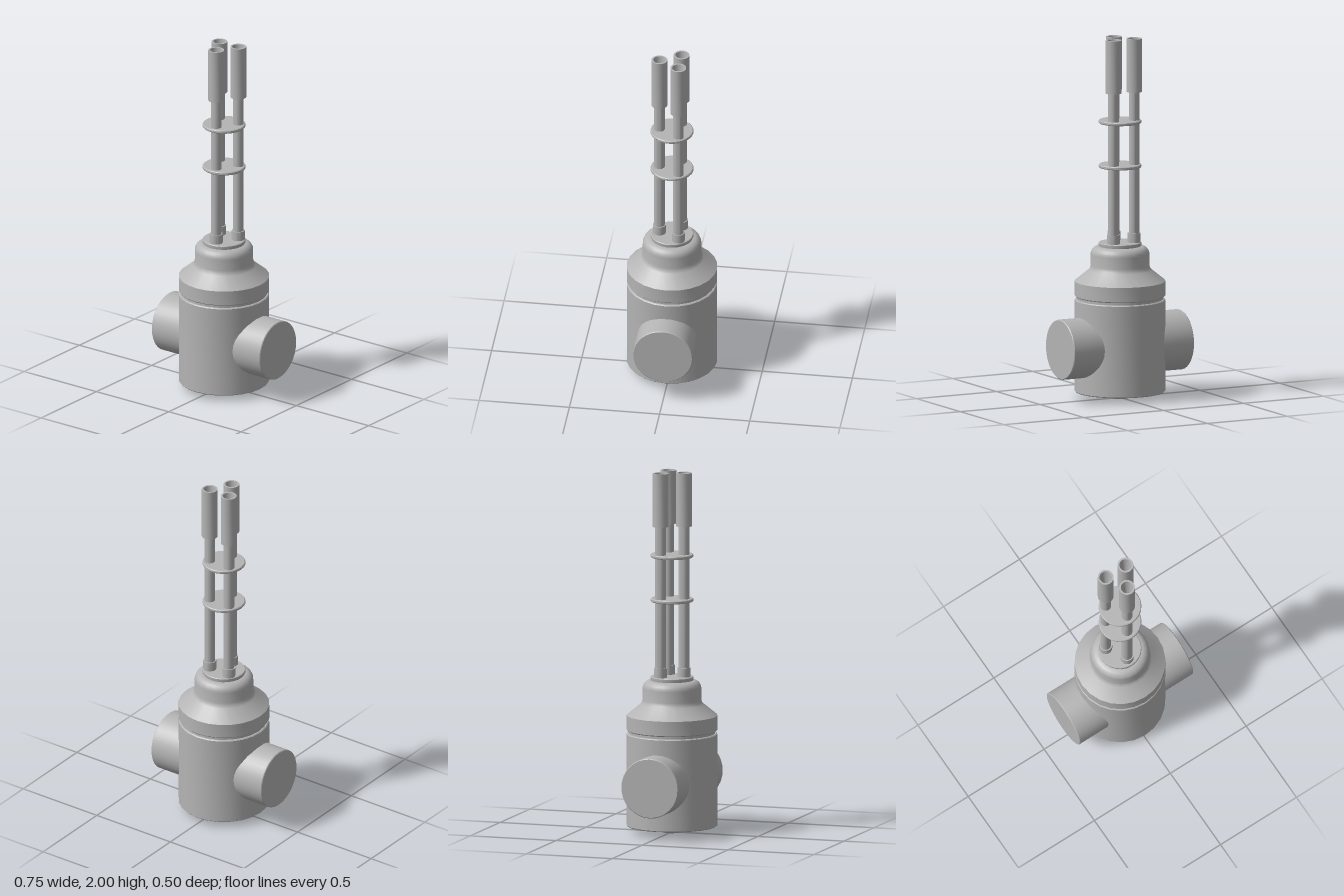
import * as THREE from 'three';
import { toCreasedNormals } from 'three/addons/utils/BufferGeometryUtils.js';

export function createModel() {
  const group = new THREE.Group();
  const grey = new THREE.MeshStandardMaterial({ color: 0xb4b4b4 });
  grey.name = 'plain grey';

  const add = (name, geometry, x = 0, y = 0, z = 0) => {
    const mesh = new THREE.Mesh(toCreasedNormals(geometry, 0.6), grey);
    mesh.name = name;
    mesh.position.set(x, y, z);
    group.add(mesh);
    return mesh;
  };
  // Revolved solid from [radius, height] pairs, listed from the bottom axis up
  const turned = (profile, sides = 24) =>
    new THREE.LatheGeometry(profile.map(([r, y]) => new THREE.Vector2(r, y)), sides);

  // Main cylinder with a ring groove around the bottom plate
  add('body', turned([
    [0, 0.033], [0.19, 0.033], [0.19, 0.055], [0.205, 0.055], [0.205, 0.035],
    [0.245, 0.035], [0.25, 0.04], [0.25, 0.545], [0.245, 0.55], [0, 0.55],
  ]));

  // Narrow neck between body and cap
  add('sealRing', new THREE.CylinderGeometry(0.238, 0.238, 0.03, 24), 0, 0.557, 0);

  // Stepped cap: band, cone, collar and rounded shoulder
  const shoulder = [];
  for (let i = 0; i <= 6; i++) {
    const a = (i / 6) * Math.PI / 2;
    shoulder.push([0.117 + 0.045 * Math.cos(a), 0.8 + 0.045 * Math.sin(a)]);
  }
  add('cap', turned([
    [0, 0.565], [0.245, 0.565], [0.25, 0.57], [0.25, 0.65],
    [0.175, 0.711], [0.166, 0.722], [0.162, 0.738], ...shoulder, [0, 0.845],
  ]));
  add('topPlate', turned([[0, 0.84], [0.115, 0.84], [0.118, 0.85], [0.118, 0.863], [0.115, 0.866], [0, 0.866]]));

  // Side ports
  for (const side of [-1, 1]) {
    const port = add(side > 0 ? 'leftPort' : 'rightPort', turned([
      [0, 0.1], [0.166, 0.1], [0.166, 0.371], [0.162, 0.375], [0, 0.375],
    ], 32), 0, 0.295, 0);
    port.rotation.z = -side * Math.PI / 2;
  }

  // Drain plug with a hexagonal socket
  const plug = new THREE.Shape();
  plug.absarc(0, 0, 0.052, 0, Math.PI * 2);
  const hex = new THREE.Path();
  for (let i = 0; i < 6; i++) {
    const a = -i * Math.PI / 3;
    hex[i ? 'lineTo' : 'moveTo'](0.04 * Math.cos(a), 0.04 * Math.sin(a));
  }
  hex.closePath();
  plug.holes.push(hex);
  const plugGeometry = new THREE.ExtrudeGeometry(plug, {
    depth: 0.02, bevelThickness: 0.01, bevelSize: 0.009, bevelSegments: 1, curveSegments: 12,
  });
  plugGeometry.rotateX(-Math.PI / 2);
  add('drainPlug', plugGeometry, 0, 0.01, 0);

  // Three rods, each with a foot ferrule and a flared open sleeve
  for (const [x, z] of [[-0.065, -0.044], [0.065, -0.044], [0, 0.07]]) {
    add('ferrule', new THREE.CylinderGeometry(0.036, 0.036, 0.06, 20), x, 0.888, z);
    add('rod', new THREE.CylinderGeometry(0.03, 0.03, 0.86, 20), x, 1.28, z);
    add('sleeve', turned([
      [0, 1.704], [0.044, 1.704], [0.044, 2], [0.034, 2], [0.021, 1.8], [0, 1.8],
    ], 20), x, 0, z);
  }

  // Spacer discs holding the rods together
  for (const y of [1.291, 1.537]) {
    add('spacerDisc', turned([
      [0, -0.009], [0.114, -0.009], [0.118, -0.005], [0.118, 0.005], [0.114, 0.009], [0, 0.009],
    ]), 0, y, 0);
  }

  return group;
}
